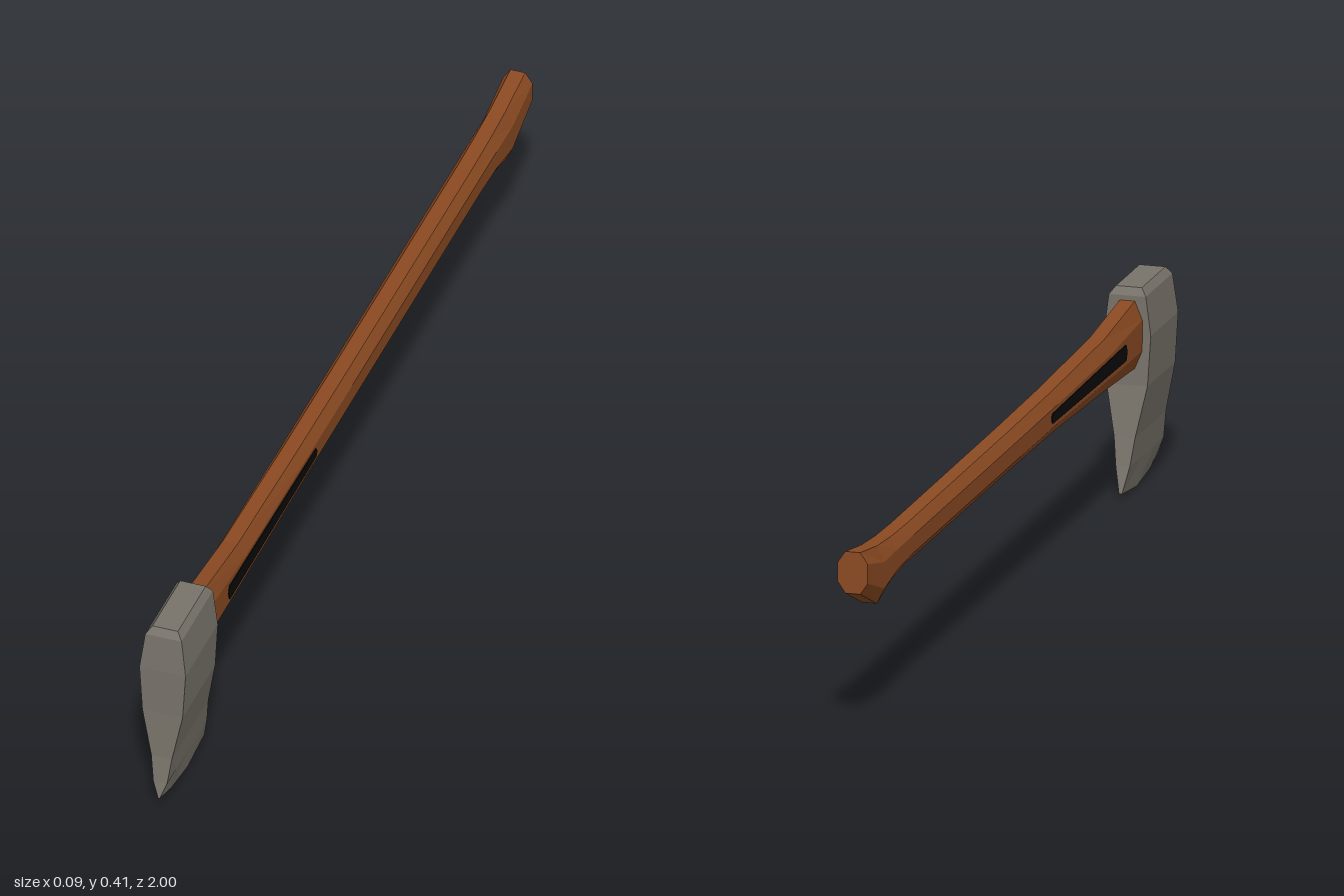
import * as THREE from 'three';

const paint = (name, color) => {
  const m = new THREE.MeshStandardMaterial({ color });
  m.name = name;
  m.flatShading = true;
  return m;
};

// Skin a list of equal-length rings (arrays of [x, y, z]) and close both ends.
function loft(rings) {
  const pos = [];
  const quad = (a, b, c, d) => pos.push(...a, ...b, ...c, ...a, ...c, ...d);
  const n = rings[0].length;
  for (let r = 0; r < rings.length - 1; r++) {
    for (let i = 0; i < n; i++) {
      const j = (i + 1) % n;
      quad(rings[r][i], rings[r][j], rings[r + 1][j], rings[r + 1][i]);
    }
  }
  const first = rings[0], last = rings[rings.length - 1];
  for (let i = 0; i < n / 2 - 1; i++) {
    quad(last[i], last[i + 1], last[n - 2 - i], last[n - 1 - i]);
    quad(first[n - 1 - i], first[n - 2 - i], first[i + 1], first[i]);
  }
  const g = new THREE.BufferGeometry();
  g.setAttribute('position', new THREE.Float32BufferAttribute(pos, 3));
  g.computeVertexNormals();
  return g;
}

export function createModel() {
  const group = new THREE.Group();
  const steel = paint('steel', 0x78736a);
  const wood = paint('wood', 0x8b4a22);
  const black = paint('black', 0x0a0a0a);
  const add = (name, geometry, material) => {
    const mesh = new THREE.Mesh(geometry, material);
    mesh.name = name;
    group.add(mesh);
    return mesh;
  };

  // Axe head: rows from cutting edge to poll, [y, half width, back z, front z]
  const columns = [0, 0.25, 0.6, 1];
  const rows = [
    [0.06, 0.014, 0.77, 0.993],
    [0.115, 0.021, 0.782, 0.985],
    [0.215, 0.041, 0.798, 0.98],
    [0.315, 0.047, 0.8, 0.98],
    [0.392, 0.037, 0.8, 0.975],
    [0.407, 0.026, 0.81, 0.965],
  ].map(([y, w, zb, zf]) => {
    const side = columns.map((t) => [w, y, zf + (zb - zf) * t]);
    return [...side, ...side.map(([x, yy, z]) => [-x, yy, z]).reverse()];
  });
  // Curved cutting edge, front to back
  const edge = [[0.0015, 0.027, 1], [0.003, 0.011, 0.94], [0.004, 0, 0.85], [0.003, 0.009, 0.755]];
  rows.unshift([...edge, ...edge.map(([x, y, z]) => [-x, y, z]).reverse()]);
  add('axeHead', loft(rows), steel);

  // Handle: octagonal sections from knob to eye, [z, bottom y, top y]
  const sections = [
    [-1, 0.285, 0.368],
    [-0.89, 0.237, 0.352],
    [-0.8, 0.26, 0.346],
    [-0.7, 0.267, 0.344],
    [0, 0.268, 0.347],
    [0.25, 0.267, 0.35],
    [0.6, 0.257, 0.36],
    [0.8, 0.248, 0.382],
    [0.9, 0.248, 0.382],
  ].map(([z, lo, hi]) => {
    const w = 0.03, c = 0.015, h = (hi - lo) * 0.27;
    return [
      [w, lo + h, z], [w, hi - h, z], [c, hi, z], [-c, hi, z],
      [-w, hi - h, z], [-w, lo + h, z], [-c, lo, z], [c, lo, z],
    ];
  });
  add('handle', loft(sections), wood);

  // Tapered grip strip on each flat side of the handle
  const strip = new THREE.Shape();
  strip.moveTo(0.21, 0.299);
  strip.lineTo(0.69, 0.294);
  strip.quadraticCurveTo(0.702, 0.31, 0.69, 0.326);
  strip.lineTo(0.21, 0.319);
  strip.quadraticCurveTo(0.199, 0.309, 0.21, 0.299);
  for (const [name, x] of [['leftStrip', 0.032], ['rightStrip', -0.029]]) {
    const g = new THREE.ExtrudeGeometry(strip, { depth: 0.003, bevelEnabled: false, curveSegments: 4 });
    g.rotateY(-Math.PI / 2);
    add(name, g, black).position.x = x;
  }
  return group;
}
